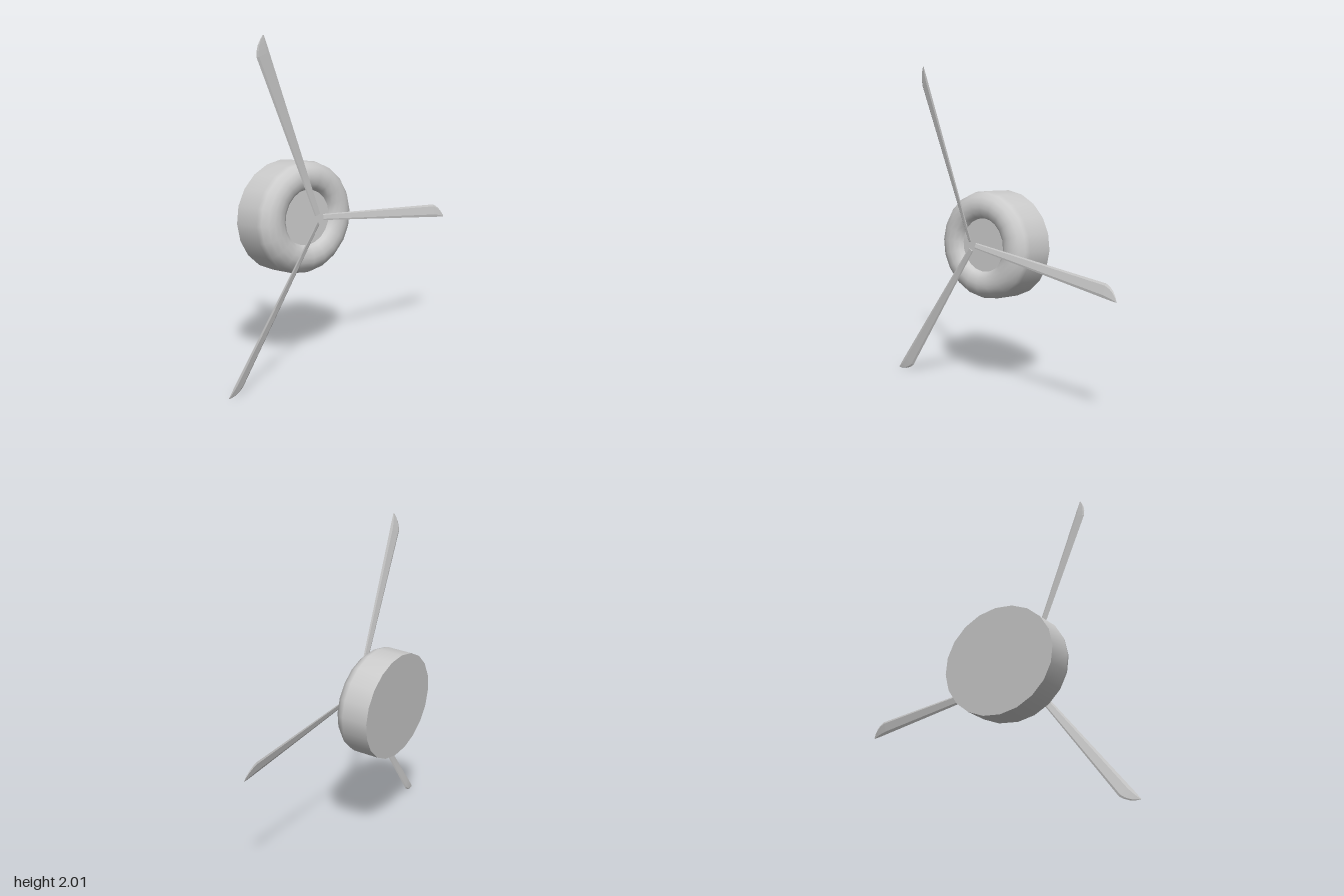
import * as THREE from 'three';

const SIDES = 20;
const grey = new THREE.MeshStandardMaterial({ color: 0xcccccc });
const greyFlat = new THREE.MeshStandardMaterial({ color: 0xcccccc, flatShading: true });

function part(name, geometry, material = grey) {
  const mesh = new THREE.Mesh(geometry, material);
  mesh.name = name;
  return mesh;
}

// Engine cowling: rolled front lip, recessed disc and closed back
function createCowling() {
  const group = new THREE.Group();
  group.name = 'cowling';
  const profile = [
    [0.374, 0], [0.375, 0.17], [0.365, 0.2], [0.335, 0.232], [0.3, 0.246],
    [0.265, 0.25], [0.225, 0.243], [0.197, 0.225], [0.185, 0.2],
  ].map(([r, y]) => new THREE.Vector2(r, y));
  const shell = new THREE.LatheGeometry(profile, SIDES).rotateX(Math.PI / 2);
  const disc = new THREE.CircleGeometry(0.185, SIDES).translate(0, 0, 0.2);
  const back = new THREE.CircleGeometry(0.374, SIDES).rotateY(Math.PI);
  group.add(part('cowlingShell', shell), part('frontDisc', disc), part('backPlate', back));
  group.scale.y = 0.9; // slightly wider than tall
  group.rotation.x = -0.06; // tilted up a little
  group.position.set(-0.215, 0.897, -0.145);
  return group;
}

// Blade along +x, lofted through thin, slightly pitched sections
function createBladeGeometry() {
  // distance from hub, trailing edge y, leading edge y
  const stations = [
    [0.028, -0.01, 0.025], [1.068, -0.002, 0.078], [1.1, -0.002, 0.068],
    [1.13, -0.001, 0.05], [1.155, 0, 0.026], [1.169, 0, 0.007],
  ];
  // chord fraction, thickness offset; counter-clockwise seen from the tip
  const section = [[0, 0], [0.2, -0.07], [0.85, -0.07], [1, 0], [0.85, 0.07], [0.2, 0.07]];
  const n = section.length;
  const positions = [];
  const index = [];
  stations.forEach(([x, low, high]) => {
    const width = high - low;
    section.forEach(([t, thick]) => {
      positions.push(x, low + t * width, width * (thick - 0.25 * t));
    });
  });
  for (let s = 0; s < stations.length - 1; s++) {
    for (let i = 0; i < n; i++) {
      const a = s * n + i;
      const b = s * n + ((i + 1) % n);
      index.push(a, b + n, b, a, a + n, b + n);
    }
  }
  // end caps
  const last = (stations.length - 1) * n;
  for (let i = 1; i < n - 1; i++) {
    index.push(0, i, i + 1, last, last + i + 1, last + i);
  }
  // section order runs clockwise from the tip, so flip every triangle outward
  const geometry = new THREE.BufferGeometry();
  geometry.setAttribute('position', new THREE.Float32BufferAttribute(positions, 3));
  geometry.setIndex(orientOutward(index, positions));
  geometry.computeVertexNormals();
  return geometry;
}

// Reverses the winding if the enclosed volume is negative
function orientOutward(index, positions) {
  const point = (i) => new THREE.Vector3().fromArray(positions, i * 3);
  let volume = 0;
  for (let i = 0; i < index.length; i += 3) {
    volume += point(index[i]).dot(point(index[i + 1]).cross(point(index[i + 2])));
  }
  return volume < 0 ? [...index].reverse() : index;
}

// Three blades spaced evenly round the hub
function createPropeller() {
  const group = new THREE.Group();
  group.name = 'propeller';
  const geometry = createBladeGeometry();
  for (let i = 0; i < 3; i++) {
    const blade = part(`blade${i + 1}`, geometry, greyFlat);
    blade.rotation.z = THREE.MathUtils.degToRad(-8.3 + 120 * i);
    group.add(blade);
  }
  group.position.set(-0.21, 0.919, 0.162);
  return group;
}

export function createModel() {
  const model = new THREE.Group();
  model.name = 'propellerEngine';
  model.add(createCowling(), createPropeller());
  return model;
}
